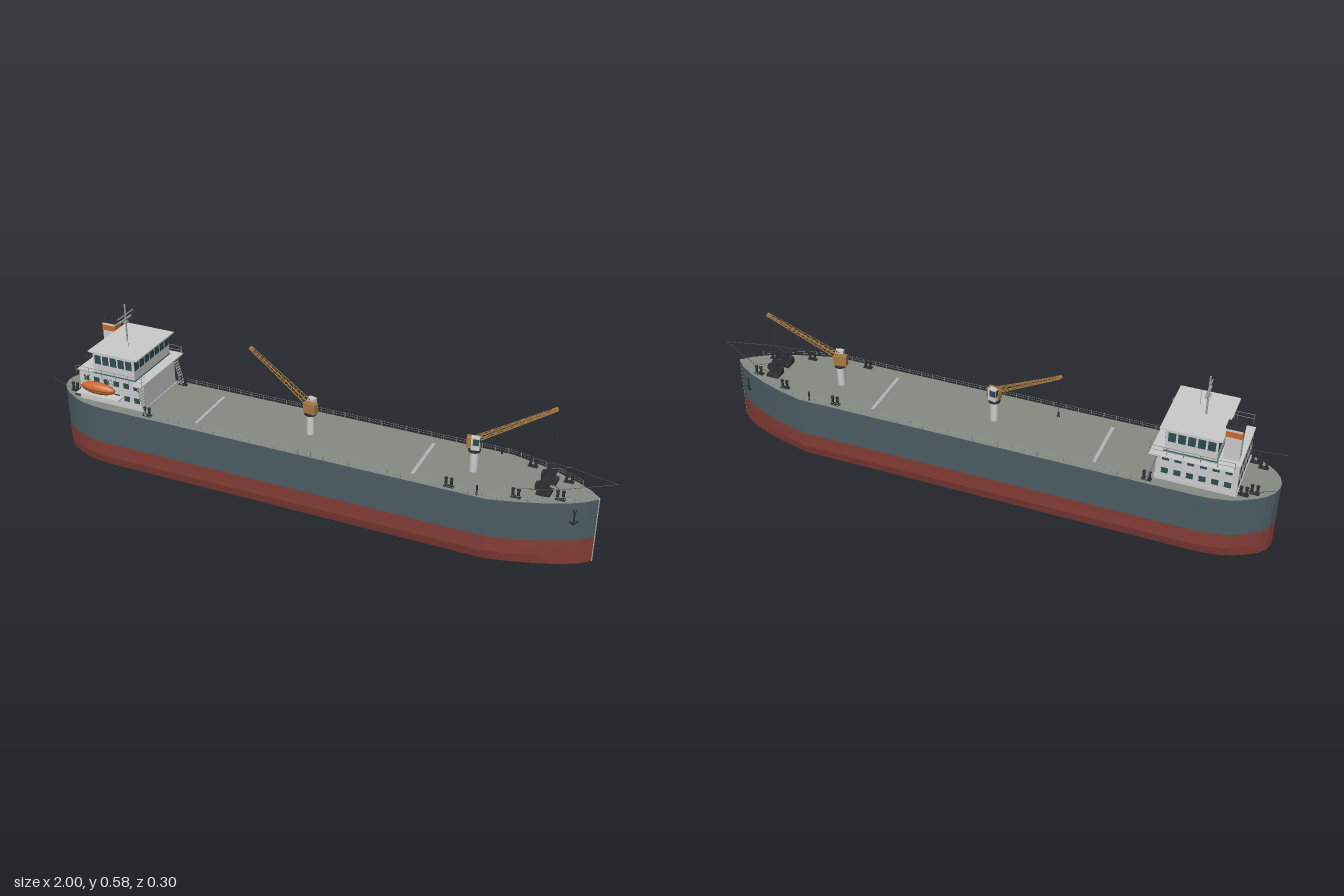
import * as THREE from 'three';
import { mergeGeometries, toCreasedNormals } from 'three/addons/utils/BufferGeometryUtils.js';

const WHITE = 0xd4d6d3, DARK = 0x2c3133, GLASS = 0x2f4a52, ORANGE = 0xc8692c, TAN = 0xa87a42, HULL = 0x4c5d63, RED = 0x873e37, DECK = 0x868b83;
const DECK_Y = 0.235;
// half breadth of the deck along the ship, stern to bow
const OUTLINE = [[-1, 0.012], [-0.99, 0.043], [-0.97, 0.07], [-0.94, 0.094], [-0.9, 0.117], [-0.86, 0.133], [-0.81, 0.143], [-0.76, 0.146],
  [0.63, 0.146], [0.72, 0.123], [0.8, 0.096], [0.87, 0.065], [0.92, 0.034], [0.95, 0.004]];

const V = (x, y, z) => new THREE.Vector3(x, y, z);

function halfWidth(x) {
  for (let i = 1; i < OUTLINE.length; i++) {
    const [x0, w0] = OUTLINE[i - 1], [x1, w1] = OUTLINE[i];
    if (x <= x1) return w0 + (w1 - w0) * Math.max(0, (x - x0) / (x1 - x0));
  }
  return 0;
}

// box given by its centre and size
const box = (x, y, z, w, h, d) => new THREE.BoxGeometry(w, h, d).translate(x, y, z);
// upright cylinder standing at y
const post = (x, y, z, r, h, n = 12) => new THREE.CylinderGeometry(r, r, h, n).translate(x, y + h / 2, z);
// straight bar between two points
function bar(a, b, r, n = 5, r2 = r) {
  const d = b.clone().sub(a);
  const g = new THREE.CylinderGeometry(r2, r, d.length(), n);
  g.applyQuaternion(new THREE.Quaternion().setFromUnitVectors(V(0, 1, 0), d.normalize()));
  return g.translate((a.x + b.x) / 2, (a.y + b.y) / 2, (a.z + b.z) / 2);
}

function part(parent, name, color, geoms, side = THREE.FrontSide) {
  const list = Array.isArray(geoms) ? geoms : [geoms];
  const mesh = new THREE.Mesh(list.length > 1 ? mergeGeometries(list) : list[0], new THREE.MeshStandardMaterial({ color, side }));
  mesh.name = name;
  parent.add(mesh);
  return mesh;
}

// outline loop, counter-clockwise from above, as [x, -z]
function loop(scale) {
  const near = OUTLINE.map(([x, w]) => [x, -w * scale]);
  const far = OUTLINE.map(([x, w]) => [x, w * scale]).reverse();
  return near.concat(far);
}

// skin through outline loops at the given [height, scale] levels
function skin(levels) {
  const pos = [];
  for (let k = 1; k < levels.length; k++) {
    const lo = loop(levels[k - 1][1]), hi = loop(levels[k][1]), y0 = levels[k - 1][0], y1 = levels[k][0];
    lo.forEach((p, i) => {
      const j = (i + 1) % lo.length;
      const a = [p[0], y0, -p[1]], b = [lo[j][0], y0, -lo[j][1]], c = [hi[j][0], y1, -hi[j][1]], d = [hi[i][0], y1, -hi[i][1]];
      pos.push(...a, ...b, ...c, ...a, ...c, ...d);
    });
  }
  const g = new THREE.BufferGeometry();
  g.setAttribute('position', new THREE.Float32BufferAttribute(pos, 3));
  return toCreasedNormals(g, 0.2);
}
const cap = (scale) => new THREE.ShapeGeometry(new THREE.Shape(loop(scale).map(p => new THREE.Vector2(...p))));

function addHull(ship) {
  part(ship, 'lowerHull', RED, skin([[0, 0.89], [0.037, 0.97], [0.095, 0.99]]));
  part(ship, 'upperHull', HULL, skin([[0.095, 0.99], [DECK_Y, 1]]));
  part(ship, 'keelPlate', RED, cap(0.89).rotateX(Math.PI / 2));
  part(ship, 'deck', DECK, cap(1).rotateX(-Math.PI / 2).translate(0, DECK_Y, 0));
  part(ship, 'stemPost', 0xa9adab, post(0.949, 0, 0, 0.004, DECK_Y, 8));
  part(ship, 'deckStripes', 0xb2b6b0, [-0.42, 0.37].map(x => box(x, DECK_Y + 0.001, 0, 0.012, 0.003, 0.205)));
  // anchors lie against the bow flare
  for (const s of [1, -1]) {
    const anchor = new THREE.Group();
    anchor.name = 'anchor';
    part(anchor, 'anchorIron', DARK, [
      post(0, -0.02, 0, 0.003, 0.05, 6), new THREE.SphereGeometry(0.006, 8, 6).translate(0, 0.028, 0),
      bar(V(0, -0.022, 0), V(-0.014, -0.008, 0), 0.003), bar(V(0, -0.022, 0), V(0.014, -0.008, 0), 0.003)]);
    anchor.position.set(0.89, 0.177, s * (halfWidth(0.89) + 0.003));
    anchor.rotation.y = s * 0.53;
    ship.add(anchor);
  }
}

function addRailings(ship) {
  const g = [];
  for (const s of [1, -1]) {
    const at = (x, y) => V(x, y, s * (halfWidth(x) - 0.003));
    for (let i = 0; i <= 33; i++) {
      const x = -0.6 + i * 0.045;
      g.push(bar(at(x, DECK_Y), at(x, 0.255), 0.0012, 4));
      if (i < 33) for (const y of [0.246, 0.254]) g.push(bar(at(x, y), at(x + 0.045, y), 0.0006, 4));
    }
  }
  part(ship, 'deckRailing', 0x9a9e9c, g);
}

function addHouse(ship) {
  const house = new THREE.Group();
  house.name = 'deckhouse';
  ship.add(house);
  part(house, 'lowerHouse', WHITE, [box(-0.75, 0.293, 0, 0.26, 0.117, 0.212), box(-0.75, 0.2425, 0, 0.265, 0.015, 0.216)]);
  part(house, 'bridgeDeck', WHITE, [box(-0.75, 0.352, 0, 0.265, 0.005, 0.225), box(-0.622, 0.352, 0, 0.036, 0.005, 0.29), box(-0.74, 0.352, -0.125, 0.26, 0.004, 0.04), box(-0.79, 0.275, 0.12, 0.17, 0.005, 0.045)]);
  part(house, 'bridge', WHITE, box(-0.727, 0.396, 0, 0.165, 0.083, 0.234));
  part(house, 'bridgeBand', 0x3f6a62, box(-0.727, 0.357, 0, 0.169, 0.004, 0.238));
  part(house, 'bridgeRoof', WHITE, box(-0.724, 0.4395, 0, 0.195, 0.005, 0.252));

  const panes = [];
  for (let i = -3; i <= 3; i++) for (const x of [-0.6445, -0.8095]) panes.push(box(x, 0.41, i * 0.0335, 0.002, 0.033, 0.027));
  for (const s of [1, -1]) {
    for (let i = 0; i < 5; i++) panes.push(box(-0.79 + i * 0.031, 0.41, s * 0.117, 0.024, 0.033, 0.002));
    for (const y of [0.272, 0.322]) for (let i = 0; i < 6; i++) panes.push(box(-0.85 + i * 0.04, y, s * 0.106, 0.022, 0.02, 0.002));
  }
  for (const y of [0.272, 0.322]) for (let i = -2; i <= 2; i++) panes.push(box(-0.88, y, i * 0.04, 0.002, 0.02, 0.02));
  part(house, 'windows', GLASS, panes);

  // wing rails and side ladders
  const rails = [];
  for (const s of [1, -1]) {
    for (let i = 0; i < 6; i++) rails.push(bar(V(-0.87 + i * 0.053, 0.35, s * 0.138), V(-0.87 + i * 0.053, 0.383, s * 0.138), 0.001, 4));
    for (const y of [0.367, 0.382]) rails.push(bar(V(-0.87, y, s * 0.138), V(-0.605, y, s * 0.138), 0.001, 4), bar(V(-0.605, y, s * 0.115), V(-0.605, y, s * 0.138), 0.001, 4));
    for (const z of [0.113, 0.135]) rails.push(bar(V(-0.6, DECK_Y, s * z), V(-0.63, 0.352, s * z), 0.0015, 4));
    for (let i = 1; i < 12; i++) rails.push(box(-0.6 - i * 0.0025, DECK_Y + i * 0.0098, s * 0.124, 0.006, 0.0018, 0.022));
  }
  part(house, 'railsAndLadders', 0x8f9492, rails);

  // funnel
  const fx = -0.847, fz = -0.068;
  part(house, 'funnel', WHITE, box(fx, 0.41, fz, 0.05, 0.115, 0.038));
  part(house, 'funnelBand', ORANGE, box(fx, 0.447, fz, 0.052, 0.02, 0.04));
  part(house, 'funnelTop', DARK, [box(fx, 0.47, fz, 0.056, 0.006, 0.043),
    ...[[-0.01, 0.008], [0.012, 0.008], [-0.01, -0.008], [0.012, -0.008]].map(([x, z]) => post(fx + x, 0.47, fz + z, 0.005, 0.02, 10))]);

  // mast with cross arms and aerial
  part(house, 'mast', 0x9da19f, [post(-0.74, 0.44, 0, 0.003, 0.14, 8), box(-0.74, 0.524, 0, 0.006, 0.005, 0.07), box(-0.74, 0.54, 0, 0.003, 0.003, 0.098),
    box(-0.74, 0.513, 0, 0.014, 0.007, 0.014), post(-0.71, 0.44, 0.042, 0.0007, 0.06, 4)]);

  // lifeboat and its davits
  const boat = new THREE.Group();
  boat.name = 'lifeboat';
  boat.position.set(-0.79, 0.305, 0.131);
  part(boat, 'lifeboatHull', ORANGE, new THREE.SphereGeometry(1, 24, 16).scale(0.068, 0.022, 0.02));
  part(boat, 'lifeboatFender', 0x8e451c, new THREE.TorusGeometry(1, 0.03, 6, 32).rotateX(Math.PI / 2).scale(0.068, 0.06, 0.02));
  part(boat, 'davits', WHITE, [-0.045, 0.045].flatMap(x => [bar(V(x, -0.03, -0.022), V(x, 0.035, -0.018), 0.002), bar(V(x, 0.035, -0.018), V(x, 0.04, 0.002), 0.002), bar(V(x, 0.04, 0.002), V(x, 0.018, 0.002), 0.001)]));
  house.add(boat);
}

// deck crane whose jib points along +x; yaw turns it
function addCrane(ship, x, yaw) {
  const crane = new THREE.Group();
  crane.name = 'deckCrane';
  crane.position.set(x, 0, 0);
  part(crane, 'pedestal', WHITE, post(0, DECK_Y, 0, 0.0145, 0.075, 20));
  part(crane, 'slewRing', DARK, post(0, 0.308, 0, 0.02, 0.01, 20));
  const top = new THREE.Group();
  top.name = 'slewingTop';
  top.rotation.y = yaw;
  part(top, 'machineryHouse', TAN, box(-0.004, 0.337, -0.006, 0.046, 0.036, 0.024));
  part(top, 'cab', WHITE, box(0.003, 0.343, 0.012, 0.028, 0.045, 0.018));
  part(top, 'cabWindow', GLASS, [box(0.0175, 0.35, 0.012, 0.002, 0.022, 0.015), box(0.005, 0.35, 0.0215, 0.02, 0.022, 0.002)]);
  // lattice jib tapering to the tip
  const foot = V(0.004, 0.352, -0.004), tip = V(0.243, 0.487, -0.004), g = [];
  const corner = (t, u, w) => foot.clone().lerp(tip, t).add(V(-0.5 * u, 0.87 * u, w).multiplyScalar(0.008 - 0.004 * t));
  for (const u of [1, -1]) for (const w of [1, -1]) g.push(bar(corner(0, u, w), corner(1, u, w), 0.0022, 4));
  for (let i = 0; i < 16; i++) {
    const a = i / 16, b = (i + 1) / 16, f = i % 2 ? 1 : -1;
    for (const s of [1, -1]) g.push(bar(corner(a, f, s), corner(b, -f, s), 0.0012, 4), bar(corner(a, s, f), corner(b, s, -f), 0.0012, 4));
  }
  part(top, 'jib', TAN, g);
  part(top, 'jibHead', TAN, new THREE.CylinderGeometry(0.006, 0.006, 0.012, 12).rotateX(Math.PI / 2).translate(tip.x, tip.y, tip.z));
  part(top, 'hoist', DARK, [bar(tip, V(tip.x, 0.35, tip.z), 0.001, 4), box(tip.x, 0.346, tip.z, 0.006, 0.012, 0.005),
    new THREE.TorusGeometry(0.004, 0.0013, 6, 12, 4.4).translate(tip.x, 0.337, tip.z), bar(V(0, 0.365, -0.004), corner(0.95, 1.6, 0), 0.0008, 4)]);
  crane.add(top);
  ship.add(crane);
}

function addMooringGear(ship) {
  const iron = [], lines = [];
  for (const s of [1, -1]) {
    // bow winch: drum, flanges, end frames and motor
    const z = s * 0.037;
    const roll = (dz, r, w) => new THREE.CylinderGeometry(r, r, w, 14).rotateX(Math.PI / 2).translate(0.785, 0.273, z + dz);
    iron.push(roll(0, 0.01, 0.042), roll(-0.015, 0.019, 0.004), roll(0.015, 0.019, 0.004), roll(0.022, 0.013, 0.006));
    iron.push(box(0.785, 0.24, z, 0.045, 0.01, 0.045), box(0.785, 0.256, z - 0.021, 0.014, 0.04, 0.004), box(0.785, 0.256, z + 0.019, 0.014, 0.04, 0.004), box(0.763, 0.256, z, 0.016, 0.022, 0.022));
    // pairs of bollards
    for (const [x, w] of [[0.71, 0.1], [0.84, 0.055], [-0.93, 0.07], [-0.9, 0.09], [-0.6, 0.125], [0.5, 0.125]]) {
      iron.push(box(x, DECK_Y + 0.002, s * w, 0.032, 0.004, 0.014));
      for (const d of [-0.009, 0.009]) iron.push(post(x + d, DECK_Y, s * w, 0.0045, 0.03, 10), post(x + d, 0.263, s * w, 0.006, 0.004, 10));
    }
    iron.push(post(0.595, DECK_Y, s * 0.135, 0.003, 0.035, 8));
    // lines from the bollards out over bow and stern
    lines.push(bar(V(0.71, 0.268, s * 0.1), V(0.84, 0.28, s * 0.07), 0.0009, 4), bar(V(0.84, 0.28, s * 0.07), V(1, 0.3, 0), 0.0009, 4), bar(V(0.785, 0.283, z), V(0.84, 0.28, s * 0.07), 0.0009, 4));
    lines.push(bar(V(-0.88, 0.26, s * 0.118), V(-1, 0.285, s * 0.098), 0.0009, 4));
  }
  part(ship, 'winchesAndBollards', DARK, iron);
  part(ship, 'mooringLines', 0x55595a, lines);
}

export function createModel() {
  const ship = new THREE.Group();
  ship.name = 'cargoShip';
  addHull(ship);
  addRailings(ship);
  addHouse(ship);
  addCrane(ship, -0.035, Math.PI - 0.19);
  addCrane(ship, 0.54, 0.19);
  addMooringGear(ship);
  ship.position.z = -0.003;
  const model = new THREE.Group();
  model.name = 'model';
  model.add(ship);
  return model;
}
